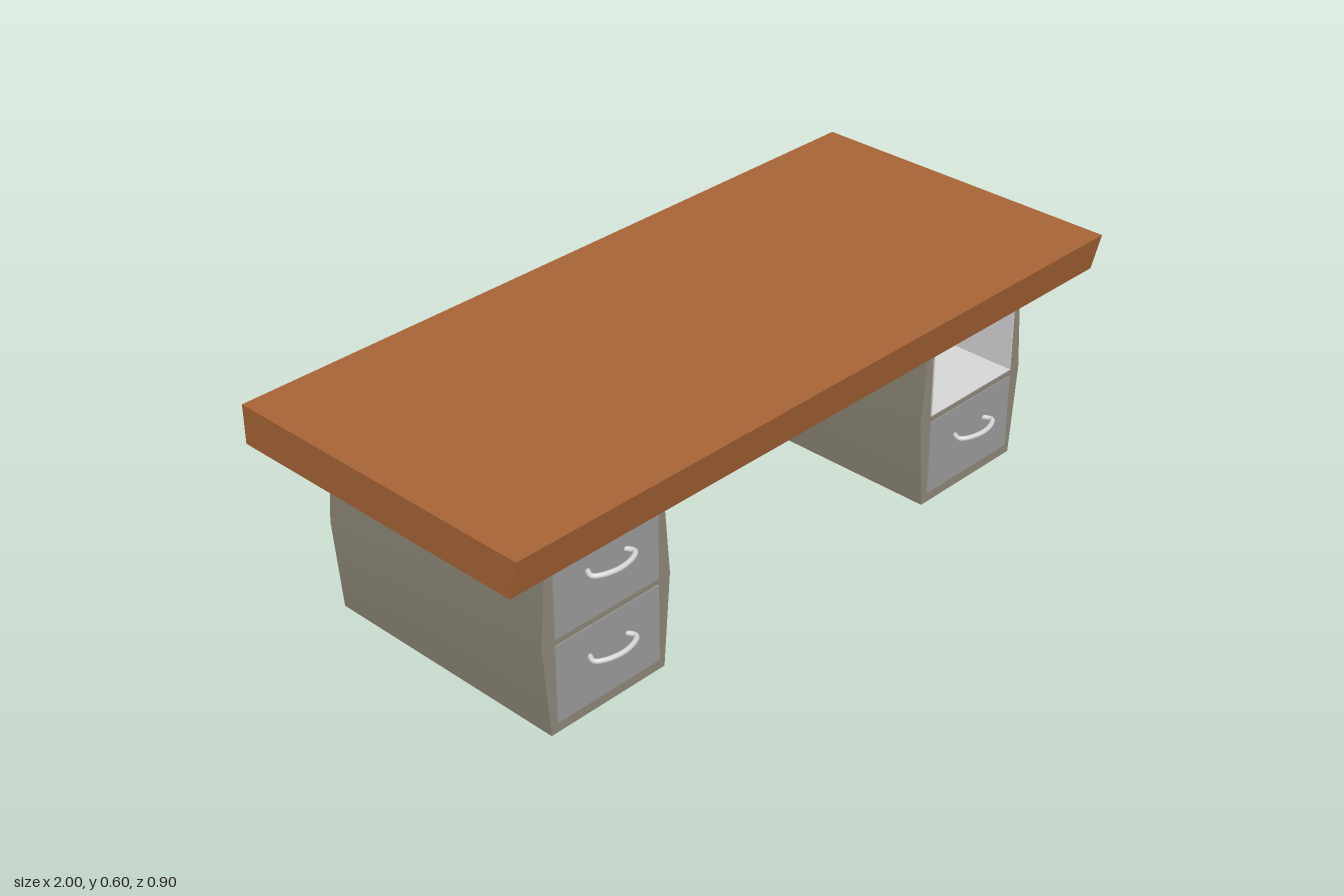
import * as THREE from 'three';
import { toCreasedNormals } from 'three/addons/utils/BufferGeometryUtils.js';

const mat = (name, color) => new THREE.MeshStandardMaterial({ name, color });

const polygon = (Type, pts) => new Type(pts.map(([x, y]) => new THREE.Vector2(x, y)));

const rect = (Type, w, y0, y1) => polygon(Type, [[-w, y0], [w, y0], [w, y1], [-w, y1]]);

// Extrude a shape along z between two depths
function extrudeZ(shape, z0, z1) {
  const g = new THREE.ExtrudeGeometry(shape, { depth: z1 - z0, bevelEnabled: false });
  return g.translate(0, 0, z0);
}

export function createModel() {
  const wood = mat('wood', 0xa86437);
  const casing = mat('casing', 0x8c8676);
  const drawerGrey = mat('drawer grey', 0x9a9a9a);
  const metal = mat('light metal', 0xd6d6d6);

  const desk = new THREE.Group();
  desk.name = 'desk';
  const add = (parent, name, geometry, material) => {
    const mesh = new THREE.Mesh(geometry, material);
    mesh.name = name;
    parent.add(mesh);
    return mesh;
  };

  // Thick top whose front edge slopes inward; profile is (-z, y), extruded along x
  const top = extrudeZ(polygon(THREE.Shape, [[-0.425, 0.5], [0.447, 0.5], [0.447, 0.603], [-0.45, 0.603]]), -1, 1);
  top.rotateY(Math.PI / 2);
  add(desk, 'tabletop', top, wood);

  const front = 0.342, back = -0.372, proud = 0.003;
  const halfW = 0.16;
  const rows = [{ y0: 0.028, y1: 0.236, handle: 0.157 }, { y0: 0.254, y1: 0.46, handle: 0.385 }];

  // Bowed drawer handle, both ends on the drawer front
  const bow = new THREE.CatmullRomCurve3([
    [-0.058, 0], [-0.066, 0.022], [-0.048, 0.036], [0, 0.046], [0.048, 0.036], [0.066, 0.022], [0.058, 0],
  ].map(([x, z]) => new THREE.Vector3(x, 0, z)));
  const handleGeometry = new THREE.TubeGeometry(bow, 32, 0.0065, 10);

  function pedestal(name, x, openTop) {
    const group = new THREE.Group();
    group.name = name;
    group.position.x = x;
    desk.add(group);

    // Casing with sides that bulge at mid height
    const outline = polygon(THREE.Shape,
      [[-0.178, 0], [0.178, 0], [0.198, 0.25], [0.178, 0.5], [-0.178, 0.5], [-0.198, 0.25]]);
    const [lower, upper] = rows;
    if (openTop) outline.holes.push(rect(THREE.Path, halfW, upper.y0, upper.y1));
    add(group, 'casing', toCreasedNormals(extrudeZ(outline, back, front), 0.3), casing);

    for (const row of openTop ? [lower] : rows) {
      const h = row.y1 - row.y0;
      // Drawer front and matching rear panel
      for (const [part, z] of [['drawerFront', front], ['rearPanel', back]]) {
        const panel = add(group, part, new THREE.BoxGeometry(2 * halfW, h, 2 * proud), drawerGrey);
        panel.position.set(0, row.y0 + h / 2, z);
      }
      add(group, 'handle', handleGeometry, metal).position.set(0, row.handle, front + proud - 0.002);
    }

    // Open shelf running right through the pedestal
    if (openTop) {
      const lining = rect(THREE.Shape, halfW, upper.y0, upper.y1);
      lining.holes.push(rect(THREE.Path, halfW - 0.003, upper.y0 + 0.003, upper.y1 - 0.003));
      add(group, 'shelfLining', extrudeZ(lining, back - proud, front + proud), metal);
    }
  }

  pedestal('rightPedestal', -0.647, false);
  pedestal('leftPedestal', 0.638, true);
  return desk;
}
